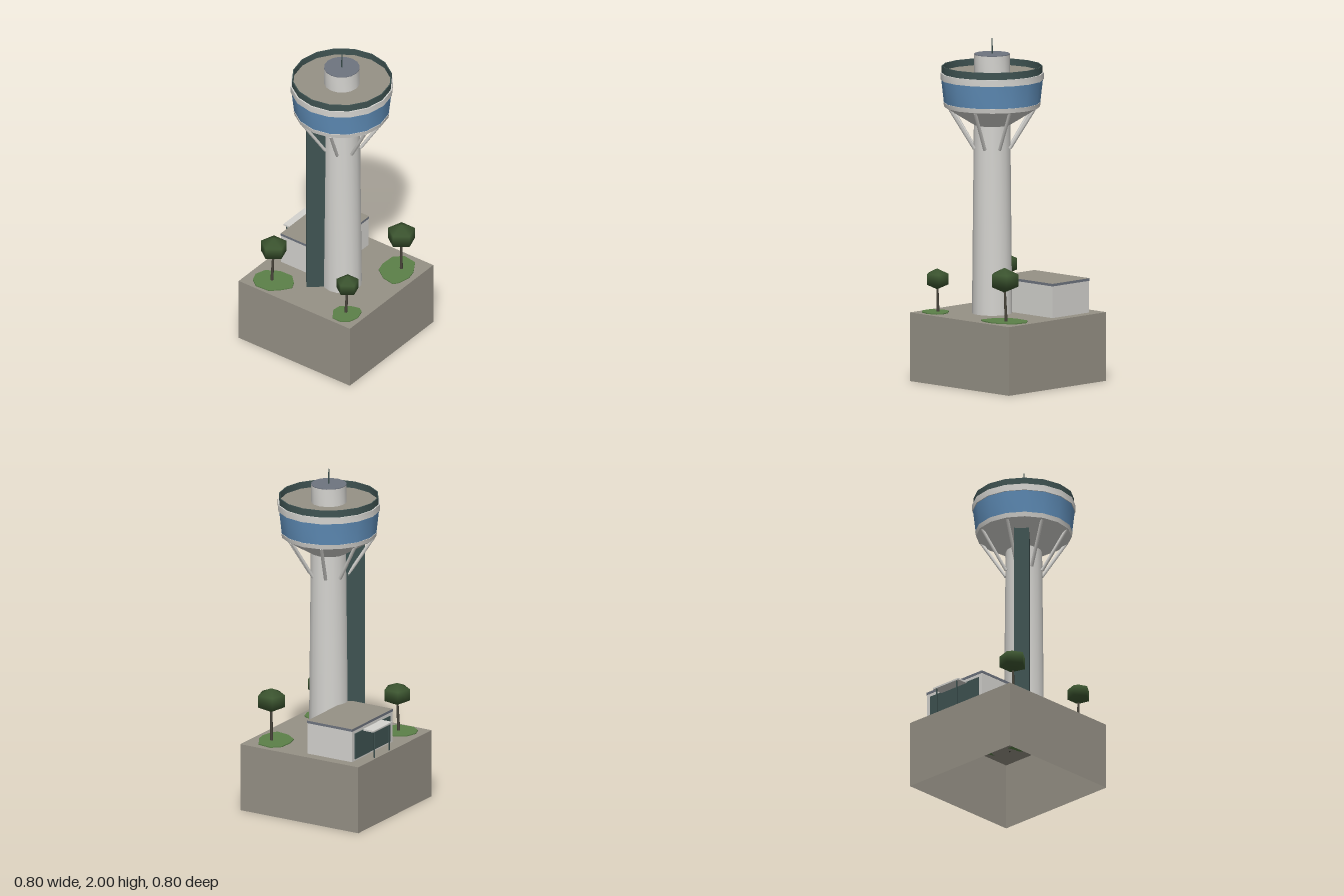
import * as THREE from 'three';
import { toCreasedNormals } from 'three/addons/utils/BufferGeometryUtils.js';

const mat = (name, color, side = THREE.FrontSide) => {
  const m = new THREE.MeshStandardMaterial({ color, side });
  m.name = name;
  return m;
};

export function createModel() {
  const concrete = mat('concrete', 0x969186, THREE.DoubleSide);
  const light = mat('lightGrey', 0xd4d3cf);
  const glass = mat('blueGlass', 0x5f8db8);
  const dark = mat('darkGreenGrey', 0x3f5352);
  const slate = mat('slate', 0x6e747f);
  const grass = mat('grass', 0x5b8048, THREE.DoubleSide);
  const leaf = mat('foliage', 0x3c5530);
  const bark = mat('bark', 0x4a463c);

  const model = new THREE.Group();
  const add = (name, geo, material, parent = model, x = 0, y = 0, z = 0) => {
    const mesh = new THREE.Mesh(geo, material);
    mesh.name = name;
    mesh.position.set(x, y, z);
    parent.add(mesh);
    return mesh;
  };
  // box given by its minimum and maximum corners
  const box = (name, a, b, material, parent = model) => add(name,
    new THREE.BoxGeometry(b[0] - a[0], b[1] - a[1], b[2] - a[2]), material, parent,
    (a[0] + b[0]) / 2, (a[1] + b[1]) / 2, (a[2] + b[2]) / 2);
  // turned solid, smooth around and sharp at its rims
  const turned = (name, profile, material, parent) => add(name,
    toCreasedNormals(new THREE.LatheGeometry(profile.map(p => new THREE.Vector2(...p)), 16), 0.6),
    material, parent);
  // rod between two points
  const rod = (name, a, b, r0, r1, sides, material, parent) => {
    const dir = b.clone().sub(a);
    const mesh = add(name, new THREE.CylinderGeometry(r1, r0, dir.length(), sides), material, parent);
    mesh.position.copy(a).addScaledVector(dir, 0.5);
    mesh.quaternion.setFromUnitVectors(new THREE.Vector3(0, 1, 0), dir.normalize());
    return mesh;
  };

  // ground block, hollow underneath
  const block = new THREE.BoxGeometry(0.8, 0.4, 0.8);
  const faces = Array.from(block.index.array);
  faces.splice(18, 6);
  block.setIndex(faces);
  block.clearGroups();
  add('groundBlock', block, concrete, model, 0, 0.2, 0);

  // tower
  const tower = new THREE.Group();
  tower.name = 'tower';
  tower.position.set(0.08, 0, 0.05);
  model.add(tower);
  turned('towerShaft', [[0.116, 0.4], [0.105, 1.52]], light, tower);
  turned('cabinUnderside', [[0.1, 1.495], [0.276, 1.602]], light, tower);
  turned('lowerBand', [[0.276, 1.602], [0.281, 1.629], [0.27, 1.629]], light, tower);
  turned('windowBand', [[0.278, 1.629], [0.293, 1.761]], glass, tower);
  turned('upperBand', [[0.285, 1.761], [0.298, 1.761], [0.298, 1.8], [0.28, 1.8]], light, tower);
  turned('parapet', [[0.29, 1.79], [0.29, 1.841], [0.284, 1.841], [0.284, 1.79]], dark, tower);
  turned('roofDeck', [[0.286, 1.802], [0, 1.802]], concrete, tower);
  turned('penthouseWall', [[0.103, 1.8], [0.103, 1.907]], light, tower);
  turned('penthouseRoof', [[0.103, 1.907], [0.103, 1.911], [0, 1.911]], slate, tower);
  add('antenna', new THREE.CylinderGeometry(0.003, 0.005, 0.09, 5), dark, tower, 0, 1.955, 0);

  // struts under the cabin
  for (let i = 0; i < 8; i++) {
    const a = (i + 0.5) * Math.PI / 4;
    const at = (r, y) => new THREE.Vector3(Math.sin(a) * r, y, Math.cos(a) * r);
    rod('strut', at(0.112, 1.365), at(0.262, 1.6), 0.01, 0.01, 6, light, tower);
  }

  // lift shaft against the tower
  const lift = new THREE.Group();
  lift.name = 'liftShaft';
  lift.rotation.y = -50 * Math.PI / 180;
  tower.add(lift);
  box('liftShaftWalls', [-0.043, 0.4, 0.06], [0.043, 1.568, 0.205], dark, lift);

  // low entrance building
  const hall = new THREE.Group();
  hall.name = 'entranceBuilding';
  model.add(hall);
  box('walls', [-0.32, 0.4, -0.34], [-0.02, 0.585, 0.1], light, hall);
  box('roof', [-0.322, 0.585, -0.342], [-0.018, 0.6, 0.102],
    [slate, slate, concrete, slate, slate, slate], hall);
  box('glassFront', [-0.324, 0.41, -0.31], [-0.319, 0.565, 0.075], dark, hall);
  box('canopy', [-0.393, 0.558, -0.22], [-0.32, 0.568, -0.02], light, hall);
  for (const z of [-0.2, -0.04])
    rod('canopyPost', new THREE.Vector3(-0.385, 0.4, z), new THREE.Vector3(-0.385, 0.56, z),
      0.004, 0.004, 6, dark, hall);

  // trees: crown centre, radius, half height, foot of the trunk
  const trees = [
    [-0.243, 0.628, 0.274, 0.078, 0.067, -0.25, 0.282],
    [0.284, 0.645, -0.249, 0.081, 0.072, 0.277, -0.257],
    [0.295, 0.597, 0.282, 0.066, 0.061, 0.285, 0.285],
  ];
  for (const [x, y, z, r, h, fx, fz] of trees) {
    const tree = new THREE.Group();
    tree.name = 'tree';
    model.add(tree);
    const crown = new THREE.SphereGeometry(1, 5, 3).rotateY(Math.PI / 2);
    crown.scale(r / 0.866, h, r / 0.866);
    add('crown', crown, leaf, tree, x, y, z);
    rod('trunk', new THREE.Vector3(fx, 0.4, fz), new THREE.Vector3(x, y, z), 0.009, 0.006, 6, bark, tree);
  }

  // grass patches, outlined in x and z
  const patches = [
    [[-0.36, 0.29], [-0.34, 0.23], [-0.29, 0.197], [-0.26, 0.183], [-0.18, 0.18], [-0.13, 0.23],
      [-0.11, 0.275], [-0.15, 0.33], [-0.2, 0.377], [-0.29, 0.383], [-0.34, 0.345]],
    [[0.163, -0.23], [0.167, -0.32], [0.218, -0.367], [0.304, -0.354], [0.355, -0.27],
      [0.368, -0.21], [0.353, -0.138], [0.33, -0.106], [0.25, -0.12], [0.18, -0.17]],
    [[0.214, 0.31], [0.257, 0.376], [0.317, 0.378], [0.358, 0.344], [0.373, 0.286],
      [0.355, 0.226], [0.325, 0.206], [0.27, 0.22], [0.22, 0.26]],
  ];
  for (const outline of patches) {
    const shape = new THREE.Shape(outline.map(([x, z]) => new THREE.Vector2(x, -z)));
    const geo = new THREE.ExtrudeGeometry(shape, { depth: 0.006, bevelEnabled: false });
    add('grassPatch', geo.rotateX(-Math.PI / 2), grass, model, 0, 0.4, 0);
  }
  return model;
}
